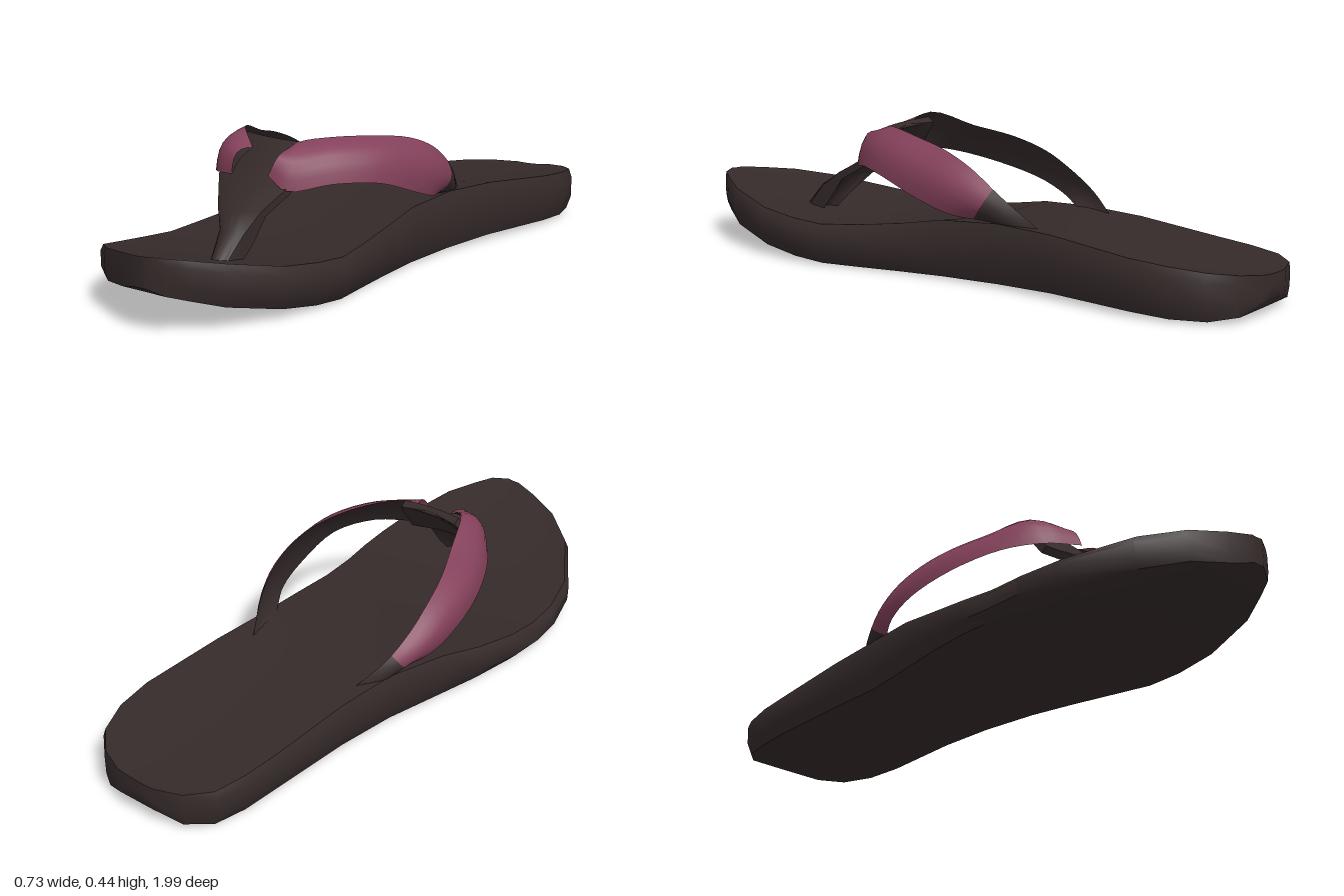
import * as THREE from 'three';
import { toCreasedNormals, mergeVertices } from 'three/addons/utils/BufferGeometryUtils.js';

const V = (p) => new THREE.Vector3(...p);

// Grid of points (rows of equal length) turned into a surface; closed joins the row ends, caps close the first and last rows
function loft(rows, closed = false, caps = false) {
  const n = rows[0].length, pos = [], idx = [];
  rows.forEach((r) => r.forEach((p) => pos.push(p.x, p.y, p.z)));
  for (let i = 0; i < rows.length - 1; i++) {
    for (let j = 0; j < (closed ? n : n - 1); j++) {
      const a = i * n + j, b = i * n + ((j + 1) % n), c = a + n, d = b + n;
      idx.push(a, c, b, b, c, d);
    }
  }
  if (caps) {
    [0, rows.length - 1].forEach((i) => {
      const m = new THREE.Vector3();
      rows[i].forEach((p) => m.addScaledVector(p, 1 / n));
      const k = pos.length / 3;
      pos.push(m.x, m.y, m.z);
      for (let j = 0; j < n; j++) {
        const a = i * n + j, b = i * n + ((j + 1) % n);
        if (i) idx.push(k, b, a); else idx.push(k, a, b);
      }
    });
  }
  const g = new THREE.BufferGeometry();
  g.setAttribute('position', new THREE.Float32BufferAttribute(pos, 3));
  g.setIndex(idx);
  return toCreasedNormals(mergeVertices(g), 0.8);
}

// Sole stations: z, right edge x, left edge x, top y, bottom y
const SOLE = [
  [-0.995, -0.03, 0.11, 0.125, 0.05], [-0.965, -0.12, 0.19, 0.13, 0.02],
  [-0.9, -0.185, 0.26, 0.137, 0.01], [-0.8, -0.21, 0.3, 0.146, 0.01],
  [-0.68, -0.222, 0.312, 0.155, 0.015], [-0.4, -0.24, 0.285, 0.18, 0.018],
  [-0.2, -0.26, 0.27, 0.185, 0.012], [0, -0.305, 0.28, 0.172, 0.008],
  [0.15, -0.34, 0.305, 0.145, 0.006], [0.3, -0.364, 0.335, 0.125, 0.004],
  [0.42, -0.368, 0.362, 0.115, 0.004], [0.53, -0.362, 0.366, 0.122, 0.012],
  [0.66, -0.328, 0.355, 0.138, 0.03], [0.83, -0.215, 0.3, 0.175, 0.066],
  [0.92, -0.1, 0.24, 0.196, 0.095], [0.97, 0.02, 0.2, 0.207, 0.112],
  [0.995, 0.1, 0.145, 0.212, 0.13],
];
// Section around the sole: [side -1..1, height 0..1]
const SECTION = [
  [-1, 0.78], [-0.95, 1], [-0.5, 1], [0, 1], [0.5, 1], [0.95, 1], [1, 0.78],
  [0.995, 0.3], [0.92, 0], [0.5, 0], [0, 0], [-0.5, 0], [-0.92, 0], [-0.995, 0.3],
];

function makeSole() {
  const rows = SOLE.map(([z, x0, x1, top, bot]) => SECTION.map(([u, h]) => {
    const x = (x0 + x1) / 2 + (u * (x1 - x0)) / 2;
    const dish = h === 1 ? 0.014 * (1 - u * u) * Math.min(1, (x1 - x0) * 2) : 0;
    return new THREE.Vector3(x, bot + h * (top - bot) + x * (0.01 + 0.05 * h) * (h > 0 || x > 0 ? 1 : 0) - dish, z);
  }));
  return loft(rows, true, true);
}

// Bulging ribbon between an upper edge and a lower edge, returned as an outer and an inner grid
function ribbon(upper, lower, steps, bulge, thick) {
  const cu = new THREE.CatmullRomCurve3(upper.map(V)), cl = new THREE.CatmullRomCurve3(lower.map(V));
  const outer = [], inner = [];
  for (let i = 0; i <= steps; i++) {
    const t = i / steps, a = cu.getPoint(t), b = cl.getPoint(t);
    const mid = a.clone().add(b).multiplyScalar(0.5);
    const n = b.clone().sub(a).cross(cu.getTangent(t).add(cl.getTangent(t))).normalize();
    if (n.dot(mid.clone().sub(new THREE.Vector3(0, 0.15, 0.05))) < 0) n.negate();
    const o = [], q = [];
    for (let j = 0; j <= 6; j++) {
      const s = j / 6, c = Math.sin(Math.PI * s);
      const p = a.clone().lerp(b, s);
      o.push(p.clone().addScaledVector(n, bulge * c));
      q.push(p.addScaledVector(n, (bulge - thick) * c));
    }
    outer.push(o);
    inner.push(q);
  }
  return { outer, inner };
}

// Strap edges from the toe junction back to the sole
const STRAPS = {
  left: {
    upper: [[0.085, 0.4, 0.37], [0.105, 0.42, 0.335], [0.16, 0.428, 0.25], [0.22, 0.42, 0.12], [0.25, 0.4, 0],
      [0.26, 0.355, -0.11], [0.25, 0.28, -0.21], [0.2, 0.18, -0.32]],
    lower: [[0.085, 0.335, 0.45], [0.14, 0.295, 0.435], [0.23, 0.31, 0.33], [0.295, 0.3, 0.2], [0.31, 0.25, 0.05],
      [0.295, 0.215, -0.06], [0.25, 0.2, -0.14], [0.18, 0.175, -0.25]],
  },
  right: {
    upper: [[-0.03, 0.395, 0.39], [-0.11, 0.44, 0.335], [-0.17, 0.4, 0.2], [-0.22, 0.37, 0.08], [-0.245, 0.33, -0.03],
      [-0.25, 0.28, -0.12], [-0.235, 0.22, -0.22], [-0.18, 0.15, -0.33]],
    lower: [[-0.03, 0.33, 0.48], [-0.14, 0.315, 0.43], [-0.22, 0.3, 0.33], [-0.28, 0.265, 0.18], [-0.3, 0.225, 0.03],
      [-0.285, 0.19, -0.07], [-0.23, 0.165, -0.16], [-0.165, 0.14, -0.27]],
  },
};

// Toe junction rows: right edge, left edge, from the toe post up to the top rim
const JUNCTION = [
  [[0.065, 0.12, 0.67], [0.12, 0.12, 0.67]],
  [[0.035, 0.2, 0.6], [0.13, 0.2, 0.6]],
  [[-0.03, 0.245, 0.54], [0.13, 0.25, 0.53]],
  [[-0.13, 0.31, 0.43], [0.14, 0.3, 0.435]],
  [[-0.12, 0.37, 0.38], [0.13, 0.37, 0.38]],
  [[-0.1, 0.425, 0.335], [0.11, 0.42, 0.335]],
];

function makeJunction() {
  const back = new THREE.Vector3(0, -0.016, -0.02);
  const rows = JUNCTION.map(([r, l], i) => {
    const a = V(r), b = V(l), front = [], rear = [];
    for (let j = 0; j <= 6; j++) {
      const s = j / 6, p = a.clone().lerp(b, s);
      p.z += (i === 5 ? 0.012 : 0.028) * Math.sin(Math.PI * s);
      front.push(p);
      rear.unshift(p.clone().addScaledVector(back, i < 2 ? 2 : 1));
    }
    return [...front, ...rear];
  });
  return loft(rows, true, true);
}

export function createModel() {
  const dark = new THREE.MeshStandardMaterial({ color: 0x352a2a, side: THREE.DoubleSide });
  dark.name = 'dark brown rubber';
  const pink = new THREE.MeshStandardMaterial({ color: 0x83405a, side: THREE.DoubleSide });
  pink.name = 'plum fabric';
  const group = new THREE.Group();
  group.name = 'flipFlop';
  const add = (name, geometry, material) => {
    const m = new THREE.Mesh(geometry, material);
    m.name = name;
    group.add(m);
  };
  add('sole', makeSole(), dark);
  add('toeJunction', makeJunction(), dark);
  for (const [side, { upper, lower }] of Object.entries(STRAPS)) {
    const steps = 28, split = 23;
    const { outer, inner } = ribbon(upper, lower, steps, 0.03, 0.022);
    add(side + 'StrapCover', loft(outer.slice(0, split + 1)), pink);
    add(side + 'StrapEnd', loft(outer.slice(split)), dark);
    add(side + 'StrapLining', loft(inner), dark);
  }
  return group;
}
